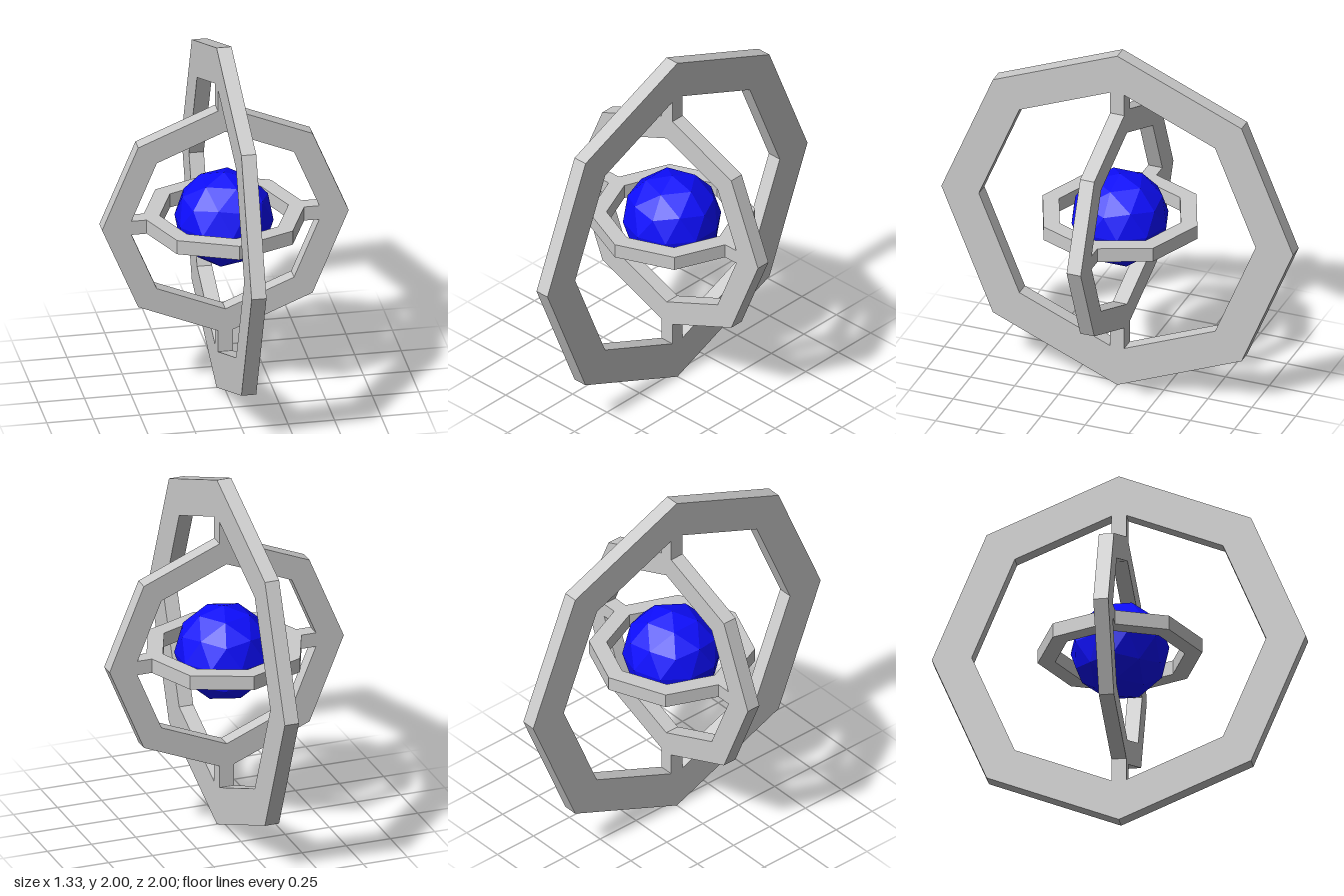
import * as THREE from 'three';

const THICK = 0.08;
const BORE = 0.787; // inner radius as a share of the outer radius

const grey = new THREE.MeshStandardMaterial({ color: 0xcccccc, flatShading: true });
const blue = new THREE.MeshStandardMaterial({ color: 0x0d0dff, flatShading: true });

// Corners of an octagon with points on both axes
function octagon(radius) {
  return Array.from({ length: 8 }, (_, i) => {
    const a = (i * Math.PI) / 4;
    return new THREE.Vector2(radius * Math.cos(a), radius * Math.sin(a));
  });
}

// Flat octagonal ring in the XY plane, centred on the origin
function makeRing(name, radius) {
  const shape = new THREE.Shape(octagon(radius));
  shape.holes.push(new THREE.Path(octagon(radius * BORE)));
  const geometry = new THREE.ExtrudeGeometry(shape, { depth: THICK, bevelEnabled: false });
  geometry.translate(0, 0, -THICK / 2);
  const ring = new THREE.Mesh(geometry, grey);
  ring.name = name;
  return ring;
}

export function createModel() {
  const model = new THREE.Group();
  model.name = 'gyroscope';
  const gimbal = new THREE.Group();
  gimbal.name = 'gimbal';
  gimbal.position.y = 1;
  model.add(gimbal);

  // Three nested rings, each at right angles to the others
  const outer = makeRing('outerRing', 1);
  outer.rotation.y = Math.PI / 2;
  const middle = makeRing('middleRing', 0.663);
  const inner = makeRing('innerRing', 0.44);
  inner.rotation.x = Math.PI / 2;
  gimbal.add(outer, middle, inner);

  // Square pivot pins joining neighbouring rings
  for (const side of [-1, 1]) {
    const vertical = new THREE.Mesh(new THREE.BoxGeometry(THICK, 0.2, THICK), grey);
    vertical.name = side > 0 ? 'upperPivot' : 'lowerPivot';
    vertical.position.y = side * 0.72;
    const horizontal = new THREE.Mesh(new THREE.BoxGeometry(0.15, THICK, THICK), grey);
    horizontal.name = side > 0 ? 'leftPivot' : 'rightPivot';
    horizontal.position.x = side * 0.48;
    gimbal.add(vertical, horizontal);
  }

  // Faceted core, turned so that one corner points straight up
  const core = new THREE.Mesh(new THREE.IcosahedronGeometry(0.264, 1), blue);
  core.name = 'core';
  core.rotation.z = -Math.atan(2 / (1 + Math.sqrt(5)));
  gimbal.add(core);

  return model;
}
